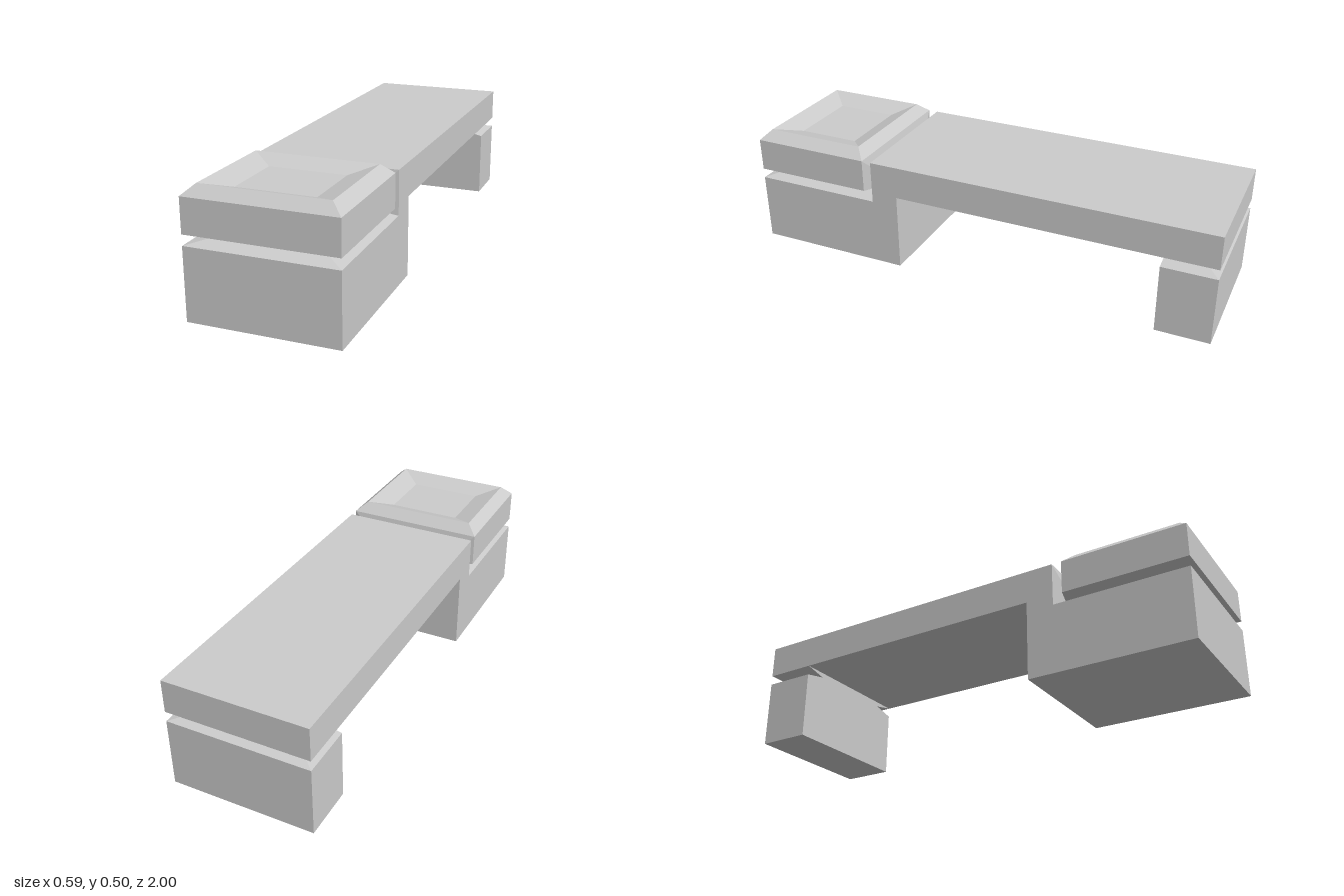
import * as THREE from 'three';

const W = 0.295;  // half width of the model
const NECK = 0.2; // half width at the bottom of the grooves

const material = new THREE.MeshStandardMaterial({ color: 0xcccccc, flatShading: true });

// Stack of rectangles [y, halfWidth, zBack, zFront] joined by flat faces
function loft(sections, { bottom = false, top = false } = {}) {
  const rings = sections.map(([y, w, z0, z1]) => [[-w, y, z1], [w, y, z1], [w, y, z0], [-w, y, z0]]);
  const pos = [];
  const quad = (a, b, c, d) => pos.push(...a, ...b, ...c, ...a, ...c, ...d);
  for (let i = 0; i < rings.length - 1; i++) {
    const lo = rings[i], hi = rings[i + 1];
    for (let k = 0; k < 4; k++) {
      const n = (k + 1) % 4;
      quad(lo[k], lo[n], hi[n], hi[k]);
    }
  }
  if (bottom) quad(...[...rings[0]].reverse());
  if (top) quad(...rings[rings.length - 1]);
  const geometry = new THREE.BufferGeometry();
  geometry.setAttribute('position', new THREE.Float32BufferAttribute(pos, 3));
  geometry.computeVertexNormals();
  return geometry;
}

export function createModel() {
  const model = new THREE.Group();
  const add = (name, geometry) => {
    const mesh = new THREE.Mesh(geometry, material);
    mesh.name = name;
    model.add(mesh);
  };

  // Front base, post and long slab: one side profile (z, y) extruded across
  const profile = [[1, 0], [1, 0.286], [0.45, 0.286], [0.45, 0.465], [-1, 0.465],
    [-1, 0.328], [0.335, 0.328], [0.335, 0]];
  const body = new THREE.ExtrudeGeometry(
    new THREE.Shape(profile.map(([z, y]) => new THREE.Vector2(z, y))),
    { depth: 2 * W, bevelEnabled: false });
  body.rotateY(-Math.PI / 2).translate(W, 0, 0);
  add('baseAndSlab', body);

  // Rear leg, pinched by a groove just under the slab
  add('rearLeg', loft([
    [0, W, -1, -0.78],
    [0.286, W, -1, -0.78],
    [0.307, NECK, -0.915, -0.78],
    [0.328, W, -1, -0.78],
  ], { bottom: true }));

  // Raised block: grooved neck, straight sides, bevelled rim, sunken top
  add('raisedBlock', loft([
    [0.286, W, 0.45, 1],
    [0.307, NECK, 0.47, 0.915],
    [0.328, W, 0.49, 1],
    [0.465, W, 0.49, 1],
    [0.505, 0.25, 0.53, 0.96],
    [0.475, 0.155, 0.61, 0.87],
  ], { top: true }));

  // Upright groove between the post and the raised block, lofted along z
  add('uprightNeck', loft([
    [0.45, W, -0.465, -0.286],
    [0.47, NECK, -0.38, -0.307],
    [0.49, W, -0.465, -0.328],
  ]).rotateX(Math.PI / 2));

  return model;
}
